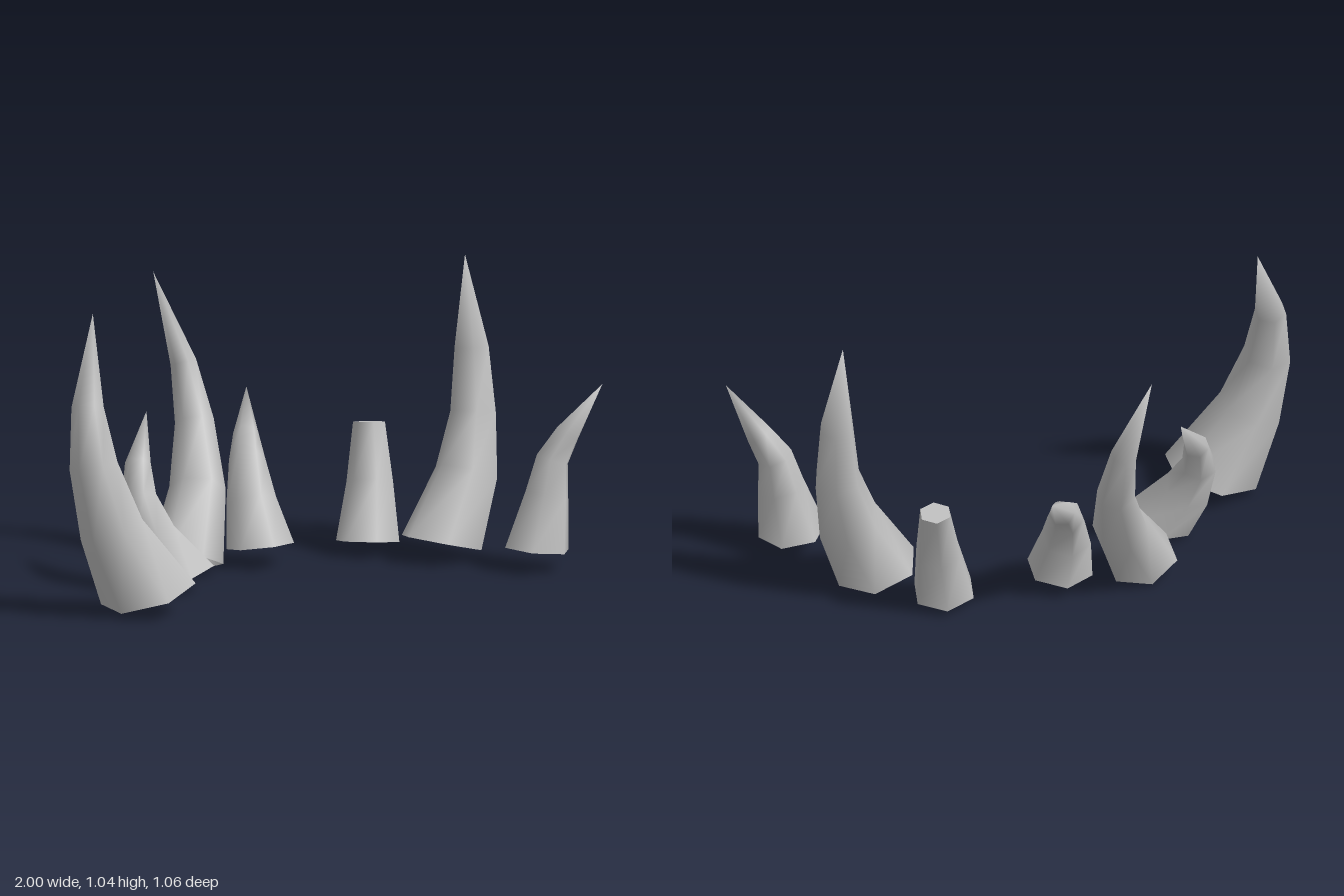
import * as THREE from 'three';

const SIDES = 6;

// Each horn: name, twist of its hexagon, and rings from base to tip as [x, y, z, radius]
const HORNS = [
  ['largeHornRight', 0, [[-0.73, 0.065, 0.36, 0.17], [-0.87, 0.305, 0.36, 0.115], [-0.925, 0.53, 0.33, 0.085], [-0.925, 0.73, 0.28, 0.056], [-0.85, 1.03, 0.16, 0]]],
  ['smallHornRight', -0.1, [[-0.485, 0.055, 0.11, 0.12], [-0.575, 0.19, 0.06, 0.088], [-0.6, 0.32, -0.005, 0.063], [-0.578, 0.43, -0.06, 0.045], [-0.495, 0.585, -0.17, 0]]],
  ['largeHornBack', 0, [[-0.365, 0.05, -0.125, 0.13], [-0.255, 0.27, -0.27, 0.098], [-0.21, 0.48, -0.395, 0.068], [-0.22, 0.675, -0.465, 0.046], [-0.305, 0.99, -0.53, 0]]],
  ['smallHornBack', 0, [[-0.068, 0.07, -0.155, 0.118], [-0.08, 0.22, -0.205, 0.088], [-0.057, 0.35, -0.29, 0.063], [-0.022, 0.42, -0.375, 0.045], [0.05, 0.55, -0.53, 0]]],
  ['brokenHorn', -0.15, [[0.35, 0.045, -0.175, 0.113], [0.385, 0.24, -0.235, 0.083], [0.412, 0.438, -0.3, 0.057]]],
  ['largeHornLeft', -0.3, [[0.545, 0.06, 0.015, 0.15], [0.66, 0.29, -0.03, 0.115], [0.708, 0.49, -0.08, 0.085], [0.72, 0.715, -0.118, 0.064], [0.7, 1.04, -0.13, 0]]],
  ['smallHornLeft', 0.5, [[0.777, 0.075, 0.3, 0.12], [0.818, 0.265, 0.295, 0.082], [0.84, 0.385, 0.292, 0.062], [0.893, 0.475, 0.303, 0.046], [0.997, 0.652, 0.366, 0]]],
];

// Ring direction: bisector along the curve, gently levelled at the ends
function ringNormal(points, i) {
  const last = points.length - 1;
  const dir = (a, b) => points[b].clone().sub(points[a]).normalize();
  if (i > 0 && i < last) return dir(i - 1, i).add(dir(i, i + 1)).normalize();
  const n = i === 0 ? dir(0, 1) : dir(last - 1, last);
  n.x *= 0.5;
  n.z *= 0.5;
  return n.normalize();
}

// Hexagonal tapering tube along the rings, open at the base
function hornGeometry(rings, twist) {
  const points = rings.map(([x, y, z]) => new THREE.Vector3(x, y, z));
  const positions = [], index = [];
  rings.forEach((ring, i) => {
    const n = ringNormal(points, i);
    const u = new THREE.Vector3(0, 0, 1).projectOnPlane(n).normalize();
    const v = n.clone().cross(u);
    const count = ring[3] > 0 ? SIDES : 1;
    for (let j = 0; j < count; j++) {
      const a = twist + (j / SIDES) * Math.PI * 2;
      const p = points[i].clone().addScaledVector(u, ring[3] * Math.cos(a)).addScaledVector(v, ring[3] * Math.sin(a));
      positions.push(p.x, p.y, p.z);
    }
    if (i === 0) return;
    for (let j = 0; j < SIDES; j++) {
      const a = (i - 1) * SIDES + j, b = (i - 1) * SIDES + (j + 1) % SIDES;
      if (count === 1) index.push(a, b, i * SIDES);
      else index.push(a, b, b + SIDES, a, b + SIDES, a + SIDES);
    }
  });
  const geometry = new THREE.BufferGeometry();
  geometry.setAttribute('position', new THREE.Float32BufferAttribute(positions, 3));
  geometry.setIndex(index);
  geometry.computeVertexNormals();
  return geometry;
}

// Flat cap over the last ring of a blunt horn
function capGeometry(horn) {
  const all = horn.getAttribute('position');
  const rim = all.array.slice((all.count - SIDES) * 3);
  const geometry = new THREE.BufferGeometry();
  geometry.setAttribute('position', new THREE.Float32BufferAttribute(rim, 3));
  const index = [];
  for (let j = 1; j < SIDES - 1; j++) index.push(0, j, j + 1);
  geometry.setIndex(index);
  geometry.computeVertexNormals();
  return geometry;
}

export function createModel() {
  const model = new THREE.Group();
  model.name = 'hornCluster';
  const bone = new THREE.MeshStandardMaterial({ color: 0xc0c0c0, side: THREE.DoubleSide });
  bone.name = 'paleGrey';

  for (const [name, twist, rings] of HORNS) {
    const geometry = hornGeometry(rings, twist);
    const horn = new THREE.Mesh(geometry, bone);
    horn.name = name;
    model.add(horn);
    if (rings[rings.length - 1][3] > 0) {
      const cap = new THREE.Mesh(capGeometry(geometry), bone);
      cap.name = name + 'Cap';
      model.add(cap);
    }
  }
  return model;
}
